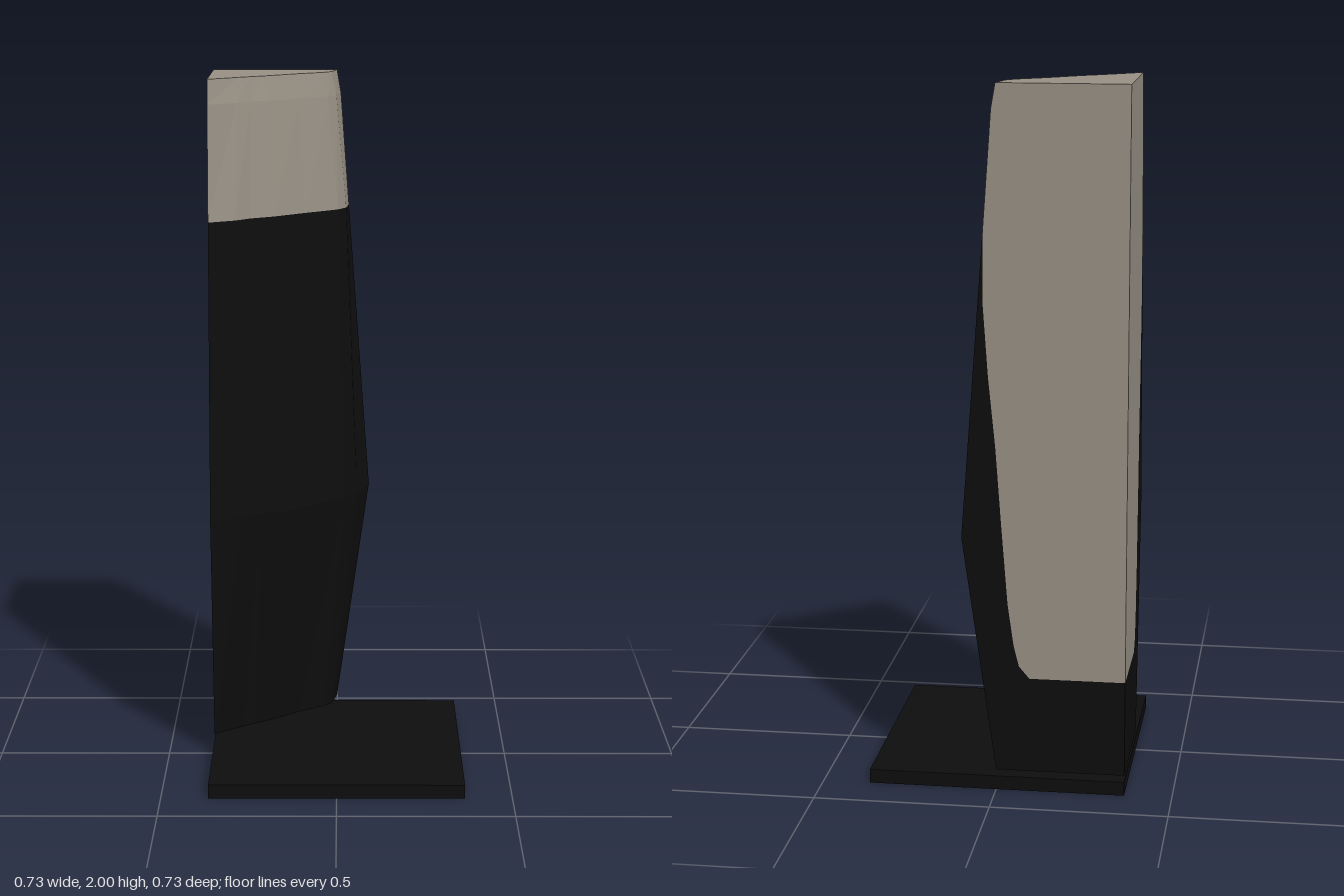
import * as THREE from 'three';
import { mergeVertices } from 'three/addons/utils/BufferGeometryUtils.js';

const CORNER = -0.365; // x and z of the two flat cut faces

// Outlines of the rounded outer face, from the x cut to the z cut: [x, z]
const TOP = [[-0.365, 0], [-0.28, -0.07], [-0.245, -0.096], [-0.207, -0.122], [-0.117, -0.2], [-0.04, -0.254], [-0.016, -0.284], [0, -0.365]];
const BAND = [[-0.365, 0.036], [-0.29, -0.008], [-0.246, -0.053], [-0.183, -0.092], [-0.092, -0.172], [0.002, -0.248], [0.027, -0.293], [0.035, -0.365]];
const BULGE = [[-0.365, 0.097], [-0.275, 0.042], [-0.223, -0.003], [-0.135, -0.034], [-0.076, -0.103], [0.025, -0.189], [0.06, -0.25], [0.097, -0.365]];
const SHOULDER = TOP.map(([x, z], i) => [x + (BAND[i][0] - x) * 0.33, z + (BAND[i][1] - z) * 0.33]);

// Faceted surface through a stack of outlines: [{ y, ring }]
function loft(levels) {
  const pos = [];
  const put = (level, i) => pos.push(level.ring[i][0], level.y, level.ring[i][1]);
  for (let j = 0; j < levels.length - 1; j++) {
    const lo = levels[j], hi = levels[j + 1];
    for (let i = 0; i < lo.ring.length - 1; i++) {
      put(lo, i); put(lo, i + 1); put(hi, i + 1);
      put(lo, i); put(hi, i + 1); put(hi, i);
    }
  }
  const geo = new THREE.BufferGeometry();
  geo.setAttribute('position', new THREE.Float32BufferAttribute(pos, 3));
  geo.computeVertexNormals();
  return geo;
}

const flat = (points) => new THREE.ShapeGeometry(new THREE.Shape(points.map(([a, b]) => new THREE.Vector2(a, b))));

export function createModel() {
  const group = new THREE.Group();
  const stone = new THREE.MeshStandardMaterial({ color: 0x9a9286 });
  stone.name = 'warm grey';
  const black = new THREE.MeshStandardMaterial({ color: 0x0e0e0e });
  black.name = 'black';

  function add(name, geometry, material) {
    const mesh = new THREE.Mesh(geometry, material);
    mesh.name = name;
    group.add(mesh);
    return mesh;
  }

  // Square base plate, with a small gap below the body
  add('basePlate', new THREE.BoxGeometry(0.73, 0.04, 0.73), black).position.y = 0.02;

  // Outer surface: dark bulging body and pale top band
  add('outerBody', loft([{ y: 0.06, ring: TOP }, { y: 0.74, ring: BULGE }, { y: 1.6, ring: BAND }]), black);
  add('topBand', loft([{ y: 1.6, ring: BAND }, { y: 1.93, ring: SHOULDER }, { y: 2, ring: TOP }]), stone);

  // Top and bottom caps
  const cap = [...TOP, [CORNER, CORNER]];
  add('topCap', flat(cap.map(([x, z]) => [x, -z])).rotateX(-Math.PI / 2), stone).position.y = 2;
  add('bottomCap', flat(cap).rotateX(Math.PI / 2), black).position.y = 0.06;

  // Cut faces: pale inner panel and dark rim, as [distance from corner, y]
  const seam = [[0, 0.335], [0.27, 0.335], [0.3, 0.37], [0.315, 0.43], [0.332, 0.55], [0.35, 0.78], [0.366, 1.0], [0.386, 1.2], [0.4, 1.4], [0.4, 1.6]];
  const panel = [...seam, [0.377, 1.93], [0.365, 2], [0, 2]];
  const rim = [...seam, [0.462, 0.74], [0.365, 0.06], [0, 0.06]];
  for (const [side, sign, turn] of [['back', -1, Math.PI], ['side', 1, -Math.PI / 2]]) {
    const face = (points) => flat(points.map(([u, y]) => [sign * u, y])).rotateY(turn);
    add(side + 'CutPanel', face(panel), stone).position.set(CORNER, 0, CORNER);
    add(side + 'CutRim', face(rim), black).position.set(CORNER, 0, CORNER);
  }

  return group;
}
